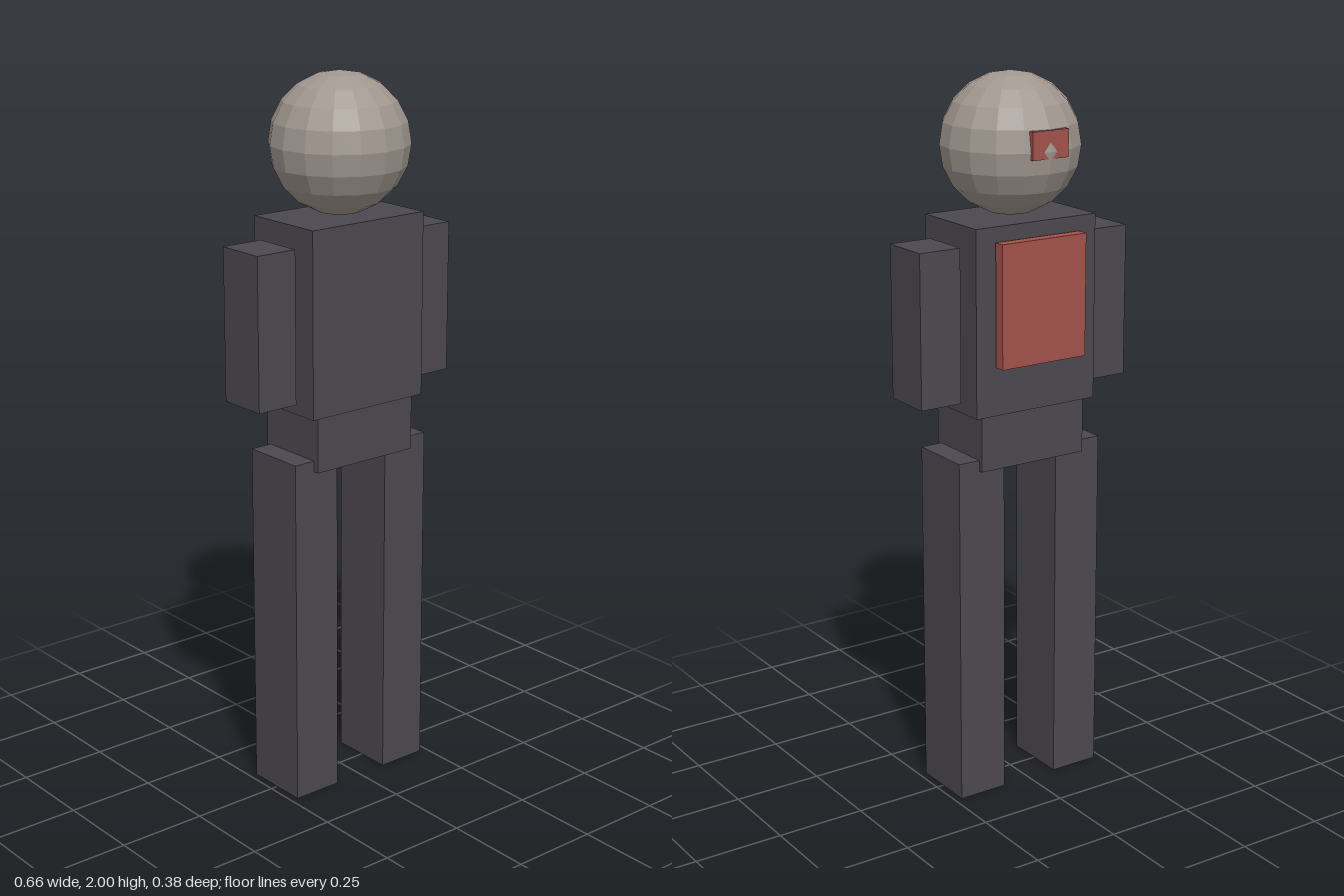
import * as THREE from 'three';

const mat = (name, color) => {
  const m = new THREE.MeshStandardMaterial({ color, flatShading: true });
  m.name = name;
  return m;
};

export function createModel() {
  const model = new THREE.Group();
  model.name = 'blockFigure';
  const charcoal = mat('charcoal', 0x4b484f);
  const stone = mat('stone', 0xa0978f);
  const red = mat('brickRed', 0xa2514a);

  // Box given by its size and centre
  const box = (name, [w, h, d], [x, y, z], material) => {
    const mesh = new THREE.Mesh(new THREE.BoxGeometry(w, h, d), material);
    mesh.name = name;
    mesh.position.set(x, y, z);
    model.add(mesh);
  };

  // Head: faceted ball with a small plate at the back
  const head = new THREE.Mesh(new THREE.SphereGeometry(0.19, 16, 10), stone);
  head.name = 'head';
  head.position.y = 1.81;
  model.add(head);
  box('headPlate', [0.112, 0.074, 0.03], [0, 1.829, -0.171], red);

  // Body
  box('torso', [0.38, 0.51, 0.246], [0, 1.365, -0.001], charcoal);
  box('hips', [0.33, 0.165, 0.22], [0, 1.0375, 0], charcoal);
  box('backPanel', [0.266, 0.335, 0.032], [0, 1.4125, -0.146], red);

  // Paired limbs
  for (const [side, s] of [['left', 1], ['right', -1]]) {
    box(side + 'Arm', [0.123, 0.42, 0.146], [s * 0.2685, 1.355, -0.002], charcoal);
    box(side + 'Leg', [0.144, 0.985, 0.19], [s * 0.157, 0.4925, -0.002], charcoal);
  }
  return model;
}
